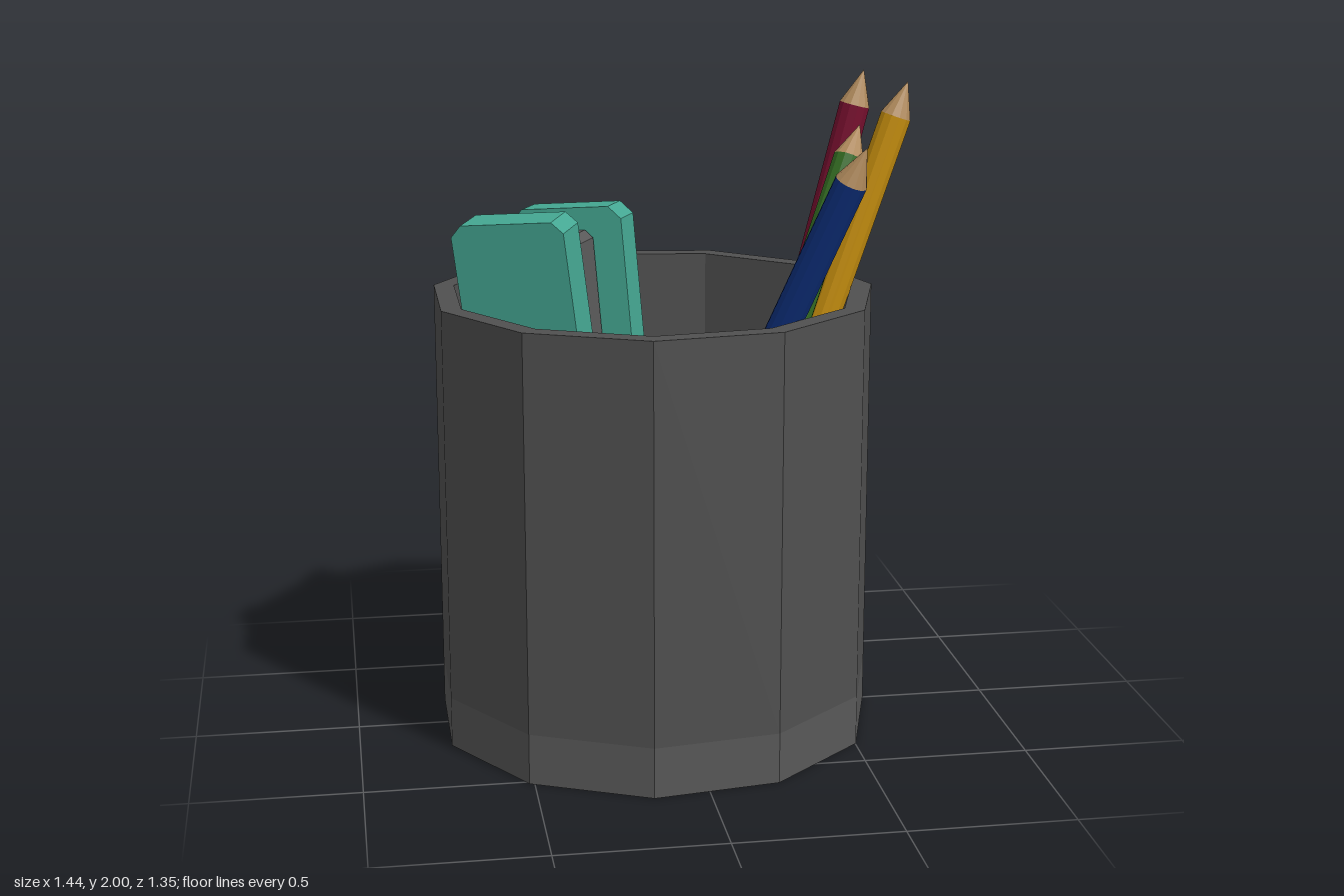
import * as THREE from 'three';

const mat = (color) => new THREE.MeshStandardMaterial({ color, flatShading: true });
const teal = mat(0x45a893), cupGrey = mat(0x505050), baseGrey = mat(0x585858);
const metal = mat(0x5a5a5a), wood = mat(0xb08a5c);

function add(parent, name, geometry, material, x = 0, y = 0, z = 0) {
  const mesh = new THREE.Mesh(geometry, material);
  mesh.name = name;
  mesh.position.set(x, y, z);
  parent.add(mesh);
  return mesh;
}

// Upright slab with cut corners, standing on y = 0
function slab(w, h, depth, cut) {
  const a = w / 2;
  const shape = new THREE.Shape([
    [-a + cut, 0], [a - cut, 0], [a, cut], [a, h - cut],
    [a - cut, h], [-a + cut, h], [-a, h - cut], [-a, cut],
  ].map(([x, y]) => new THREE.Vector2(x, y)));
  return new THREE.ExtrudeGeometry(shape, { depth, bevelEnabled: false }).translate(0, 0, -depth / 2);
}

// Eleven-sided cup: solid base and hollow wall
function makeCup() {
  const cup = new THREE.Group();
  cup.name = 'cup';
  cup.position.x = -0.07;
  const R = 0.68, r = 0.617, floor = 0.155, top = 1.36, sides = 11;
  add(cup, 'cupBase', new THREE.CylinderGeometry(R, R, floor, sides, 1, false, Math.PI / 2), baseGrey, 0, floor / 2, 0);
  const profile = [[R, floor], [R, top], [r, top], [r, floor], [0, floor + 0.001]]
    .map(([x, y]) => new THREE.Vector2(x, y));
  add(cup, 'cupWall', new THREE.LatheGeometry(profile, sides, Math.PI / 2), cupGrey);
  return cup;
}

// Pencil from its blunt end to its tip
function makePencil(name, color, from, to) {
  const a = new THREE.Vector3(...from), b = new THREE.Vector3(...to);
  const length = a.distanceTo(b), tip = 0.11, r = 0.048;
  const pencil = new THREE.Group();
  pencil.name = name;
  add(pencil, 'pencilBody', new THREE.CylinderGeometry(r, r, length - tip, 12), mat(color), 0, (length - tip) / 2, 0);
  add(pencil, 'pencilTip', new THREE.ConeGeometry(r, tip, 12), wood, 0, length - tip / 2, 0);
  pencil.position.copy(a);
  pencil.quaternion.setFromUnitVectors(new THREE.Vector3(0, 1, 0), b.sub(a).normalize());
  return pencil;
}

// Open stapler standing on its hinge end and leaning on the wall
function makeStapler() {
  const stapler = new THREE.Group();
  stapler.name = 'stapler';
  stapler.position.set(-0.267, 0.17, -0.137);
  stapler.rotation.set(0, -0.473, 0.09);

  const lowerArm = new THREE.Group();
  lowerArm.name = 'staplerLowerArm';
  lowerArm.position.z = 0.1;
  lowerArm.rotation.x = 0.102;
  add(lowerArm, 'lowerArmBody', slab(0.36, 1.44, 0.125, 0.035), teal);
  add(lowerArm, 'anvilPlate', new THREE.BoxGeometry(0.25, 0.3, 0.02), metal, 0, 1.2, -0.058);
  stapler.add(lowerArm);

  add(stapler, 'staplerUpperArm', slab(0.37, 1.4, 0.115, 0.04), teal, 0.01, 0, -0.205);
  add(stapler, 'stapleMagazine', slab(0.2, 1.33, 0.13, 0.025), metal, 0, 0, -0.075);
  add(stapler, 'staplerHinge', new THREE.BoxGeometry(0.25, 0.28, 0.22), metal, 0, 0.16, -0.04);
  return stapler;
}

export function createModel() {
  const model = new THREE.Group();
  model.name = 'pencilCup';
  model.add(
    makeCup(),
    makeStapler(),
    makePencil('yellowPencil', 0xc8900f, [0.09, 0.17, 0], [0.71, 1.98, 0]),
    makePencil('redPencil', 0x7a1030, [0.14, 0.17, -0.155], [0.61, 2.0, -0.155]),
    makePencil('bluePencil', 0x0d2f7c, [-0.18, 0.18, 0.09], [0.45, 1.865, 0.57]),
    makePencil('greenPencil', 0x336b22, [-0.12, 0.18, 0.51], [0.585, 1.84, -0.09]),
  );
  return model;
}
